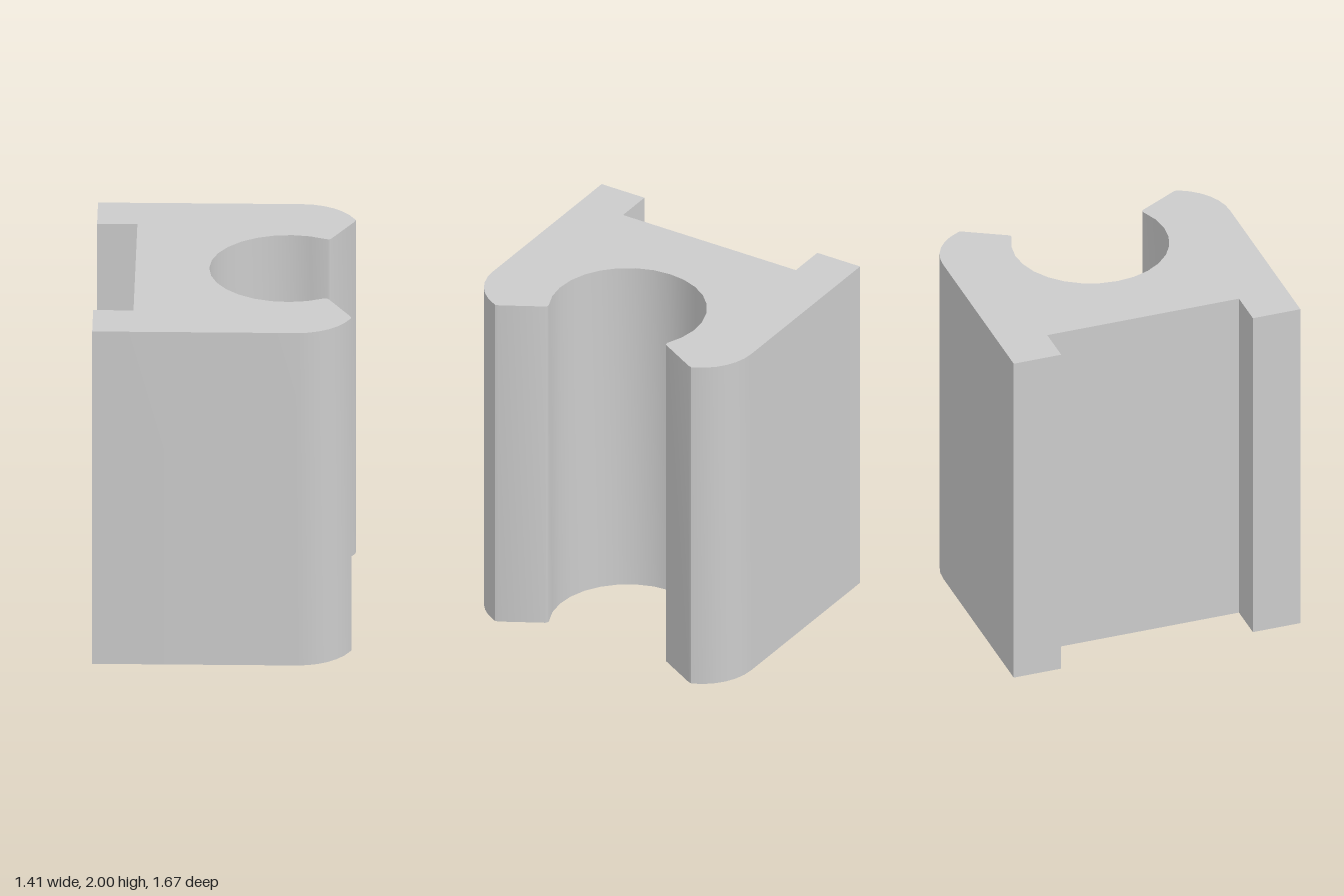
import * as THREE from 'three';
import { toCreasedNormals } from 'three/addons/utils/BufferGeometryUtils.js';

// Points along a circular arc, angles in degrees
function arc(cx, cy, r, from, to, segments) {
  return Array.from({ length: segments + 1 }, (_, i) => {
    const a = THREE.MathUtils.degToRad(from + ((to - from) * i) / segments);
    return [cx + r * Math.cos(a), cy + r * Math.sin(a)];
  });
}

export function createModel() {
  const group = new THREE.Group();
  group.name = 'clipBlock';

  // Half of the section: back slot, foot, rounded jaw, lip and open bore
  const half = [
    [-0.485, 0.557],
    [-0.705, 0.557],
    [-0.705, 0.833],
    ...arc(0.41, 0.517, 0.316, 90, 24, 6), // rounded jaw
    [0.705, 0.632],
    [0.7, 0.613],
    [0.575, 0.389], // lip
    [0.566, 0.382],
    ...arc(0.35, 0, 0.432, 62.3, 180, 9), // bore
  ];
  // Mirror for the other jaw, leaving out the shared point on the axis
  const mirrored = half.slice(0, -1).reverse().map(([x, y]) => [x, -y]);
  const section = new THREE.Shape([...half, ...mirrored].map(([x, y]) => new THREE.Vector2(x, y)));

  const geometry = new THREE.ExtrudeGeometry(section, { depth: 2, bevelEnabled: false });
  geometry.rotateX(-Math.PI / 2);

  const body = new THREE.Mesh(
    toCreasedNormals(geometry, 0.5),
    new THREE.MeshStandardMaterial({ color: 0xcccccc })
  );
  body.name = 'clipBody';
  group.add(body);
  return group;
}
